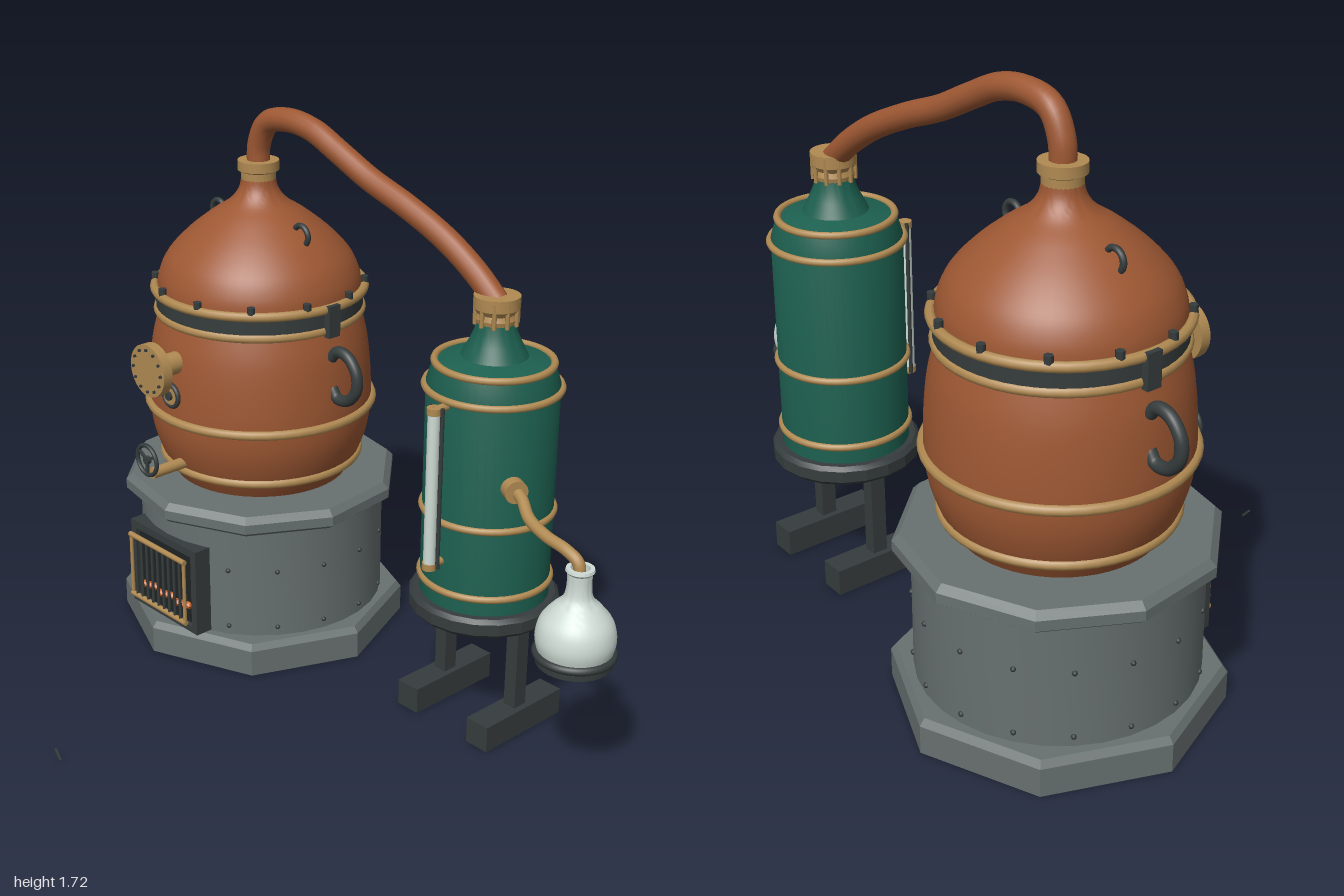
import * as THREE from 'three';
import { toCreasedNormals } from 'three/addons/utils/BufferGeometryUtils.js';

const mat = (name, color, side = THREE.FrontSide) => {
  const m = new THREE.MeshStandardMaterial({ color, side });
  m.name = name;
  return m;
};

export function createModel() {
  const copper = mat('copper', 0x9e5833), brass = mat('brass', 0xb08a52), teal = mat('teal', 0x1d6050);
  const stone = mat('stone', 0x687070), iron = mat('iron', 0x363c3d), glass = mat('glass', 0xcfdcd5);
  const ember = mat('ember', 0xc9622b), soot = mat('soot', 0x1f2425);

  const model = new THREE.Group();
  model.name = 'still';
  const group = (name, x, z) => {
    const g = new THREE.Group();
    g.name = name;
    g.position.set(x, 0, z);
    model.add(g);
    return g;
  };
  const add = (parent, name, geo, material, x = 0, y = 0, z = 0) => {
    const m = new THREE.Mesh(geo, material);
    m.name = name;
    m.position.set(x, y, z);
    parent.add(m);
    return m;
  };
  const box = (w, h, d) => new THREE.BoxGeometry(w, h, d);
  const cyl = (r, h, n = 20, r2 = r) => new THREE.CylinderGeometry(r, r2, h, n);
  const cylZ = (r, h, n = 20) => cyl(r, h, n).rotateX(Math.PI / 2);
  // Turned shape from [radius, height] pairs, bottom to top
  const lathe = (pts, n = 48, crease = 0.5, start = 0) => toCreasedNormals(
    new THREE.LatheGeometry(pts.map(p => new THREE.Vector2(p[0], p[1])), n, start), crease);
  const smooth = (pts, n) => new THREE.SplineCurve(pts.map(p => new THREE.Vector2(p[0], p[1]))).getPoints(n).map(p => [p.x, p.y]);
  const hoop = (r, t) => new THREE.TorusGeometry(r, t, 8, 48).rotateX(Math.PI / 2);
  const tube = (pts, r, n = 48) => new THREE.TubeGeometry(
    new THREE.CatmullRomCurve3(pts.map(p => new THREE.Vector3(...p))), n, r, 14);
  const around = (n, r, fn, offset = 0) => {
    for (let i = 0; i < n; i++) {
      const a = (i + offset) / n * Math.PI * 2;
      fn(Math.sin(a) * r, Math.cos(a) * r, a);
    }
  };

  // ---- Stone furnace ----
  const furnace = group('furnace', -0.535, -0.29);
  add(furnace, 'plinth', lathe([[0, 0.01], [0.465, 0.01], [0.465, 0.095], [0.45, 0.115], [0, 0.115]], 8, 0.3), stone);
  add(furnace, 'drum', lathe([[0.395, 0.11], [0.395, 0.49]], 32), stone);
  add(furnace, 'capstone', lathe([[0, 0.48], [0.425, 0.48], [0.445, 0.495], [0.445, 0.525], [0.425, 0.545], [0, 0.545]], 10, 0.3, 0.12), stone);
  for (const y of [0.145, 0.34])
    around(16, 0.395, (x, z) => add(furnace, 'drumRivet', new THREE.SphereGeometry(0.008, 8, 6), iron, x, y, z), 0.5);

  // Fire door: frame with an opening, fire bed and grate
  const door = new THREE.Group();
  door.name = 'fireDoor';
  furnace.add(door);
  const frame = new THREE.Shape([[-0.165, 0.118], [0.165, 0.118], [0.165, 0.41], [-0.165, 0.41]].map(p => new THREE.Vector2(...p)));
  frame.holes.push(new THREE.Path([[-0.14, 0.14], [-0.14, 0.385], [0.14, 0.385], [0.14, 0.14]].map(p => new THREE.Vector2(...p))));
  add(door, 'doorFrame', new THREE.ExtrudeGeometry(frame, { depth: 0.07, bevelEnabled: false }), iron, 0, 0, 0.345);
  add(door, 'fireChamber', box(0.29, 0.25, 0.03), soot, 0, 0.262, 0.385);
  for (let i = 0; i < 9; i++)
    add(door, 'ember', new THREE.IcosahedronGeometry(0.014, 0), ember, -0.112 + i * 0.028, 0.19 + (i % 3) * 0.006, 0.405);
  for (const y of [0.16, 0.373]) add(door, 'grateRail', cyl(0.009, 0.28, 10).rotateZ(Math.PI / 2), brass, 0, y, 0.438);
  for (let i = 0; i < 9; i++) add(door, 'grateBar', cyl(0.005, 0.21, 8), iron, -0.112 + i * 0.028, 0.266, 0.438);
  for (const s of [-1, 1]) add(door, 'grateSide', cyl(0.006, 0.21, 8), brass, s * 0.135, 0.266, 0.438);

  // ---- Copper pot ----
  const pot = group('pot', -0.535, -0.29);
  add(pot, 'potBody', lathe(smooth([[0.275, 0.54], [0.315, 0.61], [0.345, 0.7], [0.354, 0.79], [0.35, 0.9], [0.338, 1.0], [0.315, 1.09]], 28), 56, 0.8), copper);
  add(pot, 'dome', lathe(smooth([[0.32, 1.15], [0.313, 1.2], [0.285, 1.26], [0.225, 1.325], [0.15, 1.385], [0.09, 1.425], [0.06, 1.465], [0.052, 1.51]], 32), 56, 0.8), copper);
  add(pot, 'gasket', cyl(0.325, 0.07, 56), iron, 0, 1.118);
  for (const [y, r] of [[0.605, 0.313], [0.785, 0.356], [1.085, 0.319], [1.155, 0.328]])
    add(pot, 'potHoop', hoop(r, 0.015), brass, 0, y);
  around(12, 0.328, (x, z) => add(pot, 'flangeBolt', cyl(0.013, 0.022, 6), iron, x, 1.175, z), 0.5);
  add(pot, 'neckCollar', lathe([[0, 1.49], [0.054, 1.49], [0.054, 1.515], [0.064, 1.52], [0.064, 1.55], [0, 1.55]], 28), brass);
  for (const s of [-1, 1]) {
    add(pot, 'clamp', box(0.022, 0.1, 0.045), iron, s * 0.336, 1.118);
    add(pot, 'liftingRing', new THREE.TorusGeometry(0.031, 0.009, 8, 24), iron, s * 0.195, 1.352);
    add(pot, 'handle', tube([[s * 0.335, 1.0, 0], [s * 0.36, 1.025, 0], [s * 0.405, 1.02, 0], [s * 0.443, 0.975, 0],
      [s * 0.443, 0.92, 0], [s * 0.405, 0.878, 0], [s * 0.36, 0.874, 0], [s * 0.338, 0.9, 0]], 0.018, 36), iron);
  }

  // Round port with bolts
  add(pot, 'portStem', cylZ(0.035, 0.1), brass, 0, 0.975, 0.375);
  add(pot, 'portDisc', cylZ(0.083, 0.032, 32), brass, 0, 0.975, 0.432);
  around(12, 0.067, (x, y) => add(pot, 'portBolt', cylZ(0.005, 0.008, 6), iron, x, 0.975 + y, 0.45));
  // Small gauge
  add(pot, 'gaugeBody', cylZ(0.03, 0.025), brass, 0, 0.873, 0.355);
  add(pot, 'gaugeRim', new THREE.TorusGeometry(0.035, 0.008, 8, 24), iron, 0, 0.873, 0.362);
  add(pot, 'gaugeHub', cylZ(0.014, 0.012), iron, 0, 0.873, 0.37);
  // Drain pipe and valve wheel
  add(pot, 'drainPipe', cylZ(0.018, 0.16), brass, 0, 0.635, 0.365);
  add(pot, 'valveRim', new THREE.TorusGeometry(0.048, 0.007, 8, 28), iron, 0, 0.685, 0.462);
  add(pot, 'valveHub', cylZ(0.013, 0.014), iron, 0, 0.685, 0.462);
  around(3, 0.024, (x, y, a) => {
    add(pot, 'valveSpoke', box(0.009, 0.048, 0.008), iron, x, 0.685 + y, 0.462).rotation.z = -a;
  }, 0.5);

  // ---- Vapour pipe ----
  add(model, 'vapourPipe', tube([[-0.535, 1.52, -0.29], [-0.53, 1.6, -0.29], [-0.49, 1.67, -0.291], [-0.4, 1.692, -0.295],
    [-0.3, 1.678, -0.302], [-0.2, 1.632, -0.31], [-0.08, 1.572, -0.322], [0.06, 1.518, -0.335],
    [0.2, 1.452, -0.348], [0.31, 1.38, -0.356], [0.395, 1.31, -0.358]], 0.036, 80), copper);

  // ---- Condenser ----
  const cond = group('condenser', 0.395, -0.356);
  add(cond, 'tank', lathe([[0, 0.42], [0.19, 0.42], [0.19, 1.08], [0.172, 1.14], [0.095, 1.16], [0.075, 1.2], [0.06, 1.235], [0.055, 1.27]], 48), teal);
  for (const [y, r] of [[0.485, 0.19], [0.7, 0.19], [1.072, 0.193], [1.143, 0.168]])
    add(cond, 'tankHoop', hoop(r, 0.011), brass, 0, y);
  add(cond, 'tankCollar', lathe([[0, 1.245], [0.054, 1.245], [0.06, 1.27], [0.055, 1.285], [0.066, 1.3], [0.066, 1.335], [0, 1.335]], 24), brass);
  around(10, 0.06, (x, z) => add(cond, 'collarRib', cyl(0.007, 0.075, 6), brass, x, 1.29, z));
  add(cond, 'tray', lathe([[0, 0.372], [0.21, 0.372], [0.222, 0.385], [0.222, 0.42], [0.21, 0.432], [0, 0.432]], 20, 0.3), iron);
  for (const s of [-1, 1]) {
    add(cond, 'leg', box(0.042, 0.3, 0.048), iron, s * 0.142, 0.23);
    add(cond, 'foot', box(0.08, 0.082, 0.325), iron, s * 0.142, 0.051);
  }

  // Level gauge
  add(cond, 'levelTube', cyl(0.018, 0.47, 16), glass, 0, 0.82, 0.237);
  for (const s of [-1, 1]) add(cond, 'levelGuard', cyl(0.006, 0.49, 8), iron, s * 0.023, 0.82, 0.228);
  for (const y of [0.58, 1.055]) {
    add(cond, 'levelCap', cyl(0.021, 0.02, 16), brass, 0, y, 0.237);
    add(cond, 'levelElbow', cylZ(0.012, 0.07, 12), brass, 0, y, 0.205);
  }

  // ---- Outlet pipe and collar ----
  const outDir = new THREE.Vector3(0.17, 0, 0.09).normalize();
  const collar = add(model, 'outletCollar', cyl(0.034, 0.05, 20), brass, 0.57, 0.835, -0.262);
  collar.quaternion.setFromUnitVectors(new THREE.Vector3(0, 1, 0), outDir);
  add(model, 'outletPipe', tube([[0.55, 0.84, -0.27], [0.61, 0.825, -0.25], [0.67, 0.797, -0.215], [0.75, 0.782, -0.192],
    [0.83, 0.772, -0.184], [0.872, 0.75, -0.184], [0.88, 0.7, -0.184]], 0.017, 48), brass);

  // ---- Receiving flask ----
  const flask = group('flask', 0.88, -0.184);
  add(flask, 'flaskBody', lathe([[0, 0.457], [0.085, 0.457], ...smooth([[0.1, 0.485], [0.11, 0.53], [0.1, 0.58], [0.07, 0.62], [0.042, 0.65], [0.034, 0.685], [0.034, 0.725]], 24), [0.04, 0.732], [0.038, 0.74], [0.026, 0.74], [0.026, 0.68]], 36), glass);
  add(flask, 'flaskRing', hoop(0.104, 0.012), iron, 0, 0.485);
  add(flask, 'flaskStand', lathe([[0.088, 0.455], [0.105, 0.455], [0.105, 0.48], [0.088, 0.48]], 36), iron);

  // ---- Loose poker tip on the floor ----
  add(model, 'pokerTip', box(0.038, 0.007, 0.006), iron, -0.23, 0.026, 0.757).rotation.z = -0.85;

  return model;
}
